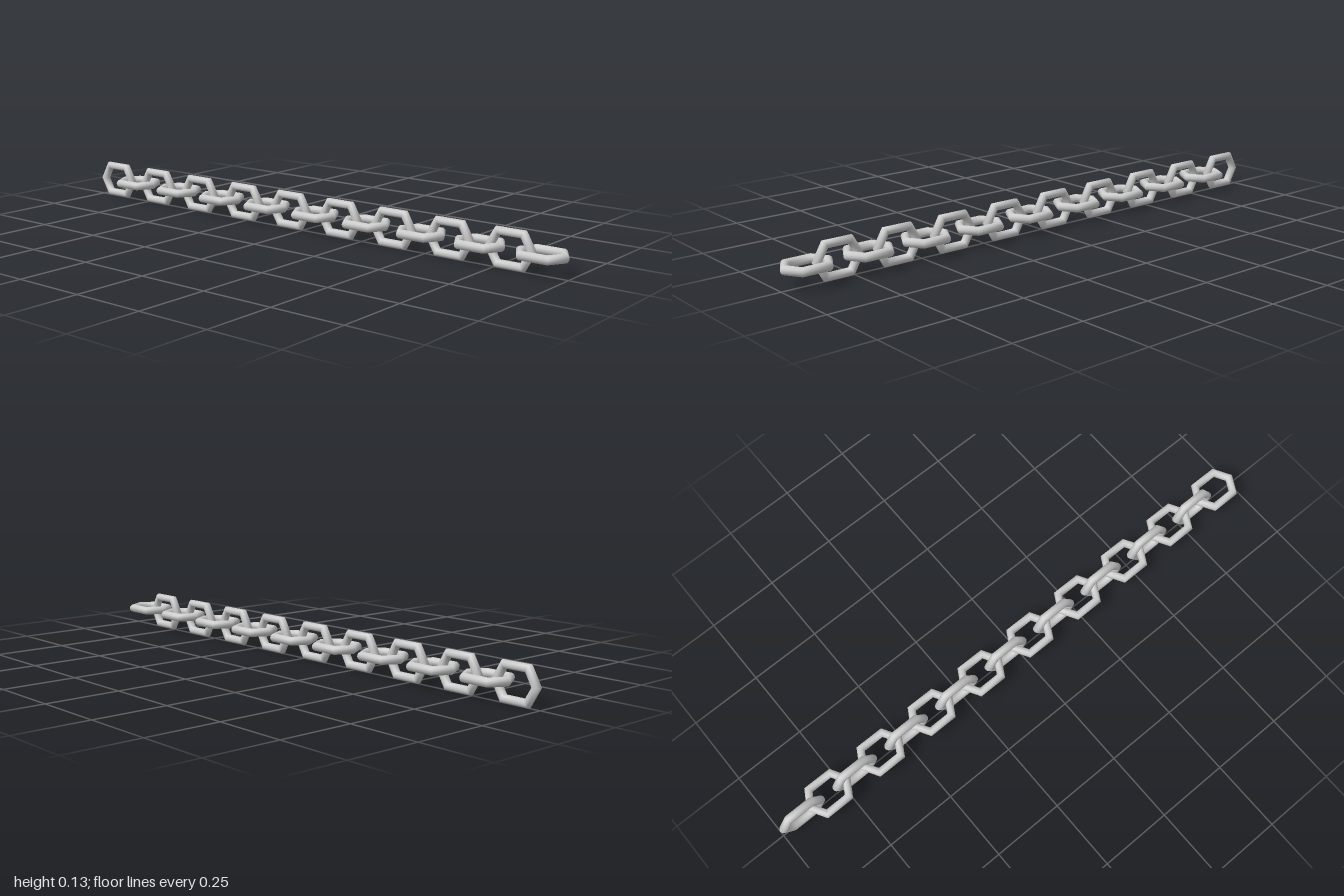
import * as THREE from 'three';

const COUNT = 18;          // links in the chain
const LENGTH = 0.177;      // overall length of one link
const TUBE = 0.015;        // bar radius
const RING = 0.059;        // radius of the hexagonal bar centreline
const PITCH = (2 - LENGTH) / (COUNT - 1);

// Six-sided ring whose two halves are pulled apart along x
function linkGeometry() {
  const geometry = new THREE.TorusGeometry(RING, TUBE, 16, 6);
  const position = geometry.attributes.position;
  const stretch = LENGTH / 2 - RING - TUBE;
  for (let i = 0; i < position.count; i++) {
    const x = position.getX(i);
    position.setX(i, x + Math.sign(x) * stretch);
  }
  return geometry;
}

export function createModel() {
  const chain = new THREE.Group();
  chain.name = 'chain';
  const material = new THREE.MeshStandardMaterial({ color: 0xcccccc });
  const geometry = linkGeometry();
  const centreY = (RING + TUBE) * Math.sin(Math.PI / 3);

  // Upright and flat links alternate along x
  for (let i = 0; i < COUNT; i++) {
    const flat = i % 2 === 1;
    const link = new THREE.Mesh(geometry, material);
    link.name = (flat ? 'flatLink' : 'uprightLink') + (Math.floor(i / 2) + 1);
    link.position.set(-1 + LENGTH / 2 + i * PITCH, centreY, 0);
    if (flat) link.rotation.x = Math.PI / 2;
    chain.add(link);
  }
  return chain;
}
